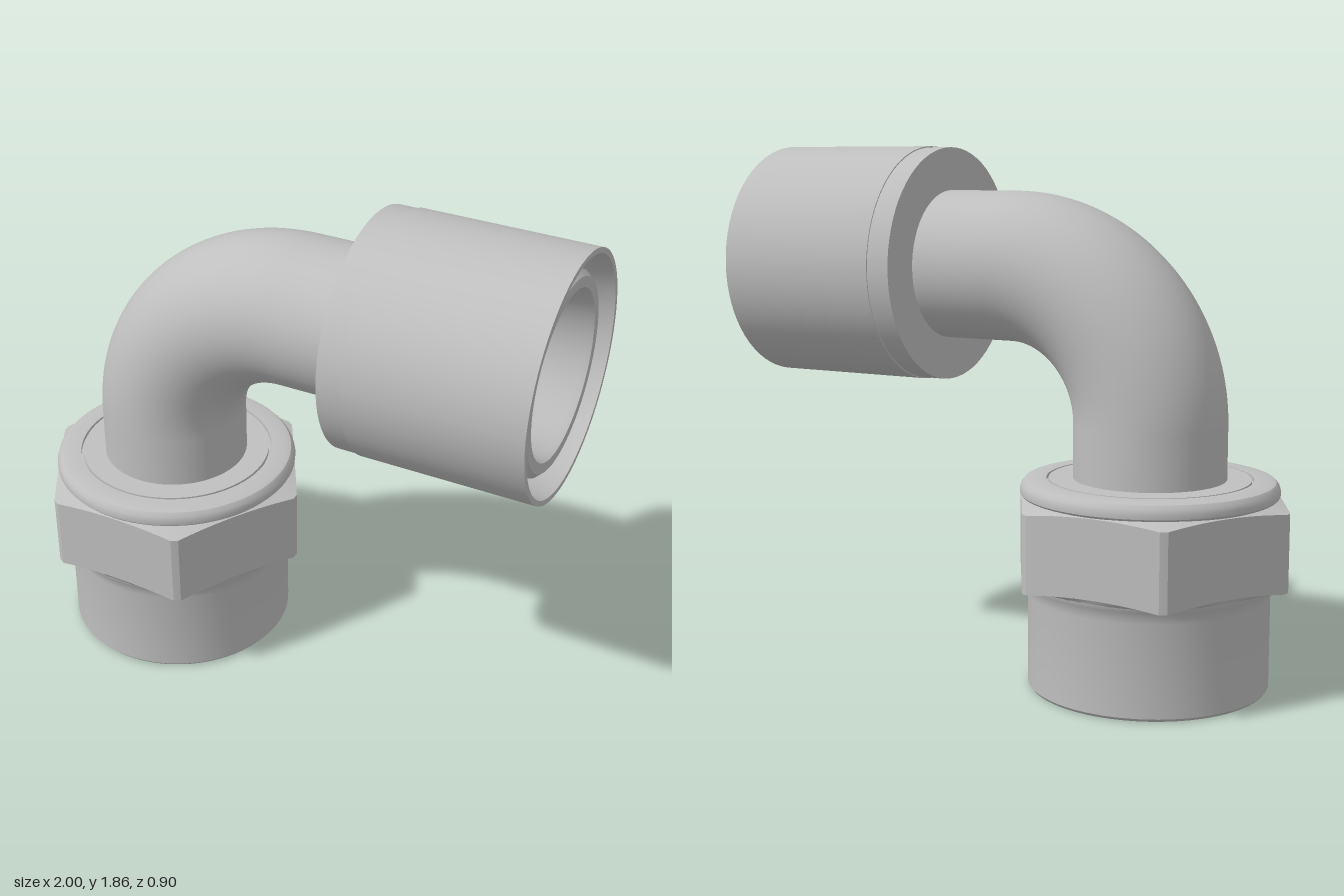
import * as THREE from 'three';
import { toCreasedNormals } from 'three/addons/utils/BufferGeometryUtils.js';

const metal = new THREE.MeshStandardMaterial({ color: 0xbfbfbf, side: THREE.DoubleSide });
metal.name = 'grey metal';

const NUT_X = -0.495, AXIS_Y = 1.44, BEND = 0.525;
const FLAT = 0.444, CORNER = 0.505;                  // nut radii at flats and turned corners
const HALF = Math.sqrt(CORNER * CORNER - FLAT * FLAT); // half width of one flat

function add(parent, name, geometry, x = 0, y = 0, z = 0) {
  const mesh = new THREE.Mesh(geometry, metal);
  mesh.name = name;
  mesh.position.set(x, y, z);
  parent.add(mesh);
  return mesh;
}

function turned(profile) {
  const points = profile.map(([r, h]) => new THREE.Vector2(r, h));
  return toCreasedNormals(new THREE.LatheGeometry(points, 72), 0.5);
}

// Upper and lower edge of a flat, curved by the chamfer
const topEdge = u => 0.67 - 0.015 * (u / HALF) ** 2;
const bottomEdge = u => 0.4 - 0.015 * (u / HALF) ** 2;

// Closed strip between the hexagon outline and a round ring
function chamfer(edge, ringRadius, ringY) {
  const positions = [], index = [], steps = 10;
  for (let k = 0; k < 6; k++) {
    for (let i = 0; i <= steps; i++) {
      const u = HALF * (2 * i / steps - 1);
      const angle = k * Math.PI / 3 + Math.atan2(u, FLAT);
      const r = Math.hypot(u, FLAT), s = Math.sin(angle), c = Math.cos(angle);
      positions.push(s * r, edge(u), c * r, s * ringRadius, ringY, c * ringRadius);
    }
  }
  const n = positions.length / 6;
  for (let i = 0; i < n; i++) {
    const a = 2 * i, b = 2 * ((i + 1) % n);
    index.push(a, b, a + 1, b, b + 1, a + 1);
  }
  const g = new THREE.BufferGeometry();
  g.setAttribute('position', new THREE.Float32BufferAttribute(positions, 3));
  g.setIndex(index);
  return toCreasedNormals(g, 0.5);
}

function createNut() {
  const nut = new THREE.Group();
  nut.name = 'nut';
  nut.position.x = NUT_X;

  // Hollow body with lower sleeve, flare, rounded collar and groove
  add(nut, 'nutBody', turned([
    [0.22, 0.5], [0.35, 0.43], [0.355, 0.035], [0.385, 0], [0.412, 0], [0.42, 0.01],
    [0.42, 0.33], [0.423, 0.35], [0.43, 0.37], [0.438, 0.385], [0.438, 0.67],
    [0.447, 0.68], [0.448, 0.695], [0.443, 0.712], [0.432, 0.725], [0.415, 0.73],
    [0.357, 0.73], [0.357, 0.715], [0.349, 0.715], [0.349, 0.73], [0.25, 0.73],
  ]));
  add(nut, 'upperChamfer', chamfer(topEdge, 0.43, 0.677));
  add(nut, 'lowerChamfer', chamfer(bottomEdge, 0.436, 0.383));

  // Six flats and the turned corners between them
  const holeU = 0.147, holeY = 0.56, holeR = 0.052;
  const half = Math.PI / 6 - Math.asin(HALF / CORNER);
  for (let k = 0; k < 6; k++) {
    const outline = [];
    for (let i = 0; i <= 10; i++) {
      const u = HALF * (i / 5 - 1);
      outline.push(new THREE.Vector2(u, bottomEdge(u)));
    }
    for (let i = 10; i >= 0; i--) {
      const u = HALF * (i / 5 - 1);
      outline.push(new THREE.Vector2(u, topEdge(u)));
    }
    const shape = new THREE.Shape(outline);
    if (k === 2) shape.holes.push(new THREE.Path().absarc(holeU, holeY, holeR, 0, Math.PI * 2, true));
    const flat = new THREE.ShapeGeometry(shape, 24);
    flat.translate(0, 0, FLAT).rotateY(k * Math.PI / 3);
    add(nut, 'nutFlat', flat);

    const corner = new THREE.CylinderGeometry(CORNER, CORNER, 0.27, 4, 1, true,
      k * Math.PI / 3 + Math.PI / 6 - half, 2 * half);
    add(nut, 'nutCorner', corner, 0, 0.52, 0);
  }

  // Blind hole drilled into one flat
  const depth = 0.08, turn = 2 * Math.PI / 3;
  const bore = new THREE.CylinderGeometry(holeR, holeR, depth, 32, 1, true);
  bore.rotateX(Math.PI / 2).translate(holeU, holeY, FLAT - depth / 2).rotateY(turn);
  add(nut, 'wireHole', bore);
  const floor = new THREE.CircleGeometry(holeR, 32);
  floor.translate(holeU, holeY, FLAT - depth).rotateY(turn);
  add(nut, 'wireHoleFloor', floor);
  return nut;
}

// Vertical run, quarter bend and horizontal run of one pipe wall
function createPipeWall(name, radius, startY, endX) {
  const wall = new THREE.Group();
  wall.name = name;
  const bendX = NUT_X + BEND, bendY = AXIS_Y - BEND;
  const rise = new THREE.CylinderGeometry(radius, radius, bendY - startY, 64, 1, true);
  add(wall, 'verticalRun', rise, NUT_X, (startY + bendY) / 2);
  const elbow = new THREE.TorusGeometry(BEND, radius, 64, 40, Math.PI / 2);
  elbow.rotateZ(Math.PI / 2);
  add(wall, 'elbow', elbow, bendX, bendY);
  const run = new THREE.CylinderGeometry(radius, radius, endX - bendX, 64, 1, true);
  run.rotateZ(Math.PI / 2);
  add(wall, 'horizontalRun', run, (bendX + endX) / 2, AXIS_Y);
  return wall;
}

export function createModel() {
  const model = new THREE.Group();
  model.name = 'elbowFitting';
  model.add(createNut());
  model.add(createPipeWall('pipeOutside', 0.265, 0.72, 0.31));
  model.add(createPipeWall('pipeBore', 0.22, 0.5, 0.55));

  // Outlet coupling: outer sleeve, ring gap and inner tube with tapered bore
  const coupling = turned([
    [0.25, 0.3], [0.417, 0.3], [0.417, 0.385], [0.421, 0.385], [0.421, 1], [0.402, 1],
    [0.398, 0.96], [0.37, 0.82], [0.342, 0.82], [0.342, 0.95], [0.323, 0.97],
    [0.287, 0.97], [0.28, 0.95], [0.22, 0.55],
  ]);
  coupling.rotateZ(-Math.PI / 2);
  add(model, 'outletCoupling', coupling, 0, AXIS_Y, 0);
  return model;
}
